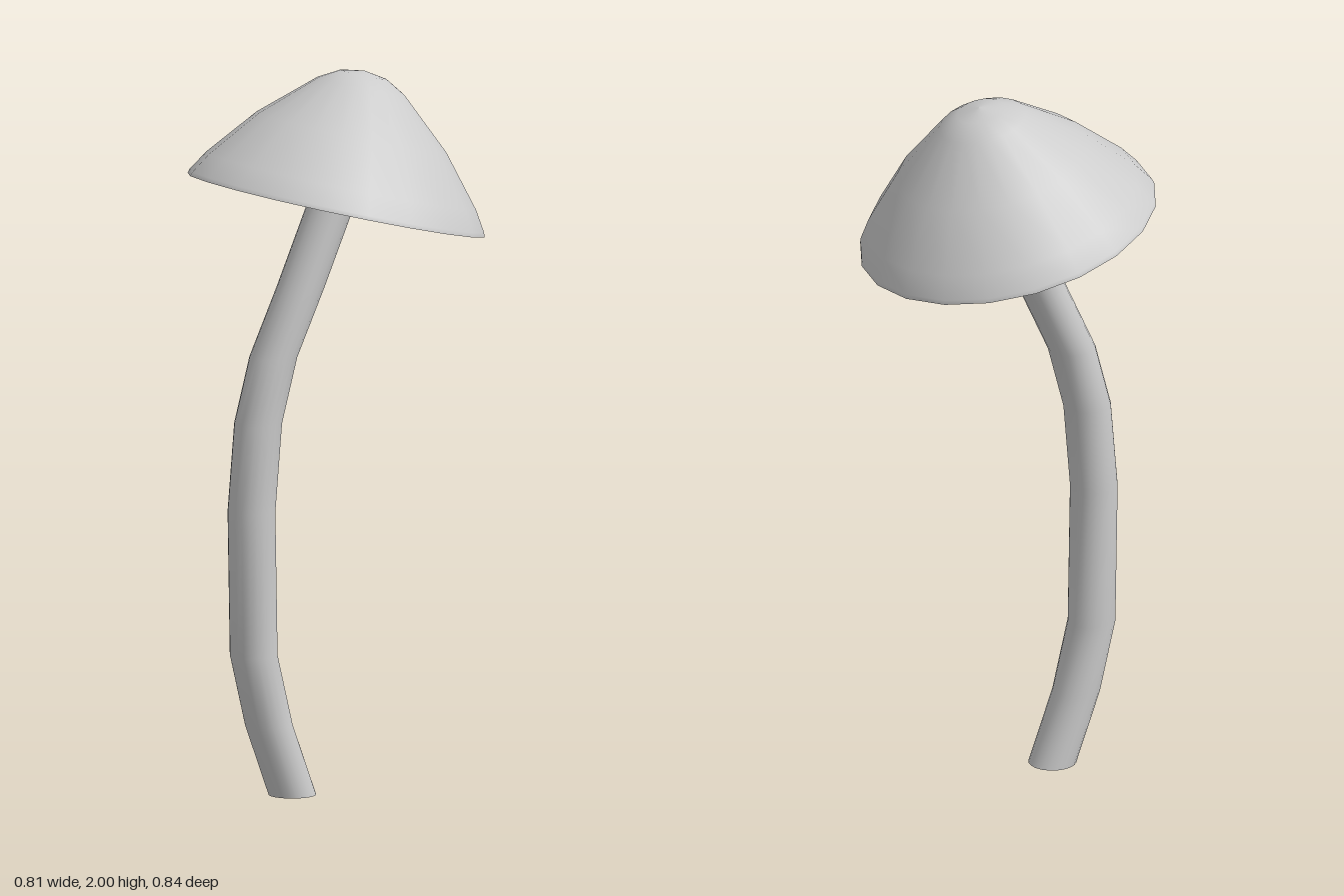
import * as THREE from 'three';
import { toCreasedNormals } from 'three/addons/utils/BufferGeometryUtils.js';

const SIDES = 20;
const points = (list) => list.map(([x, y]) => new THREE.Vector2(x, y));

// Curved stem: each ring of a cylinder stays level and slides to its centre [x, y]
function stemGeometry(radius, centres) {
  const rows = centres.length - 1;
  const geo = new THREE.CylinderGeometry(radius, radius, 1, SIDES, rows);
  const pos = geo.attributes.position;
  for (let i = 0; i < pos.count; i++) {
    const [cx, cy] = centres[Math.round((pos.getY(i) + 0.5) * rows)];
    pos.setX(i, pos.getX(i) + cx);
    pos.setY(i, cy);
  }
  return toCreasedNormals(geo, 0.8);
}

export function createModel() {
  const model = new THREE.Group();
  model.name = 'mushroom';
  const smooth = new THREE.MeshStandardMaterial({ color: 0xcccccc });
  const faceted = new THREE.MeshStandardMaterial({ color: 0xcccccc, flatShading: true });

  const stem = new THREE.Mesh(stemGeometry(0.066, [
    [-0.14, 0], [-0.214, 0.2], [-0.262, 0.4], [-0.269, 0.8],
    [-0.248, 1.045], [-0.2, 1.225], [-0.115, 1.41], [-0.02, 1.63], [0.037, 1.76],
  ]), smooth);
  stem.name = 'stem';

  // Tilted cap, with its rim on the local y = 0 plane
  const cap = new THREE.Group();
  cap.name = 'cap';
  cap.position.set(-0.002, 1.63, 0);
  cap.rotation.z = -0.241;

  const dome = new THREE.Mesh(new THREE.LatheGeometry(points([
    [0.418, 0], [0.415, 0.012], [0.38, 0.069], [0.267, 0.206],
    [0.122, 0.335], [0.065, 0.367], [0, 0.378],
  ]), SIDES), smooth);
  dome.name = 'capDome';

  // Flat rim, sloping inner wall and ceiling of the hollow
  const underside = new THREE.Mesh(new THREE.LatheGeometry(points([
    [0, 0.1], [0.27, 0.1], [0.335, 0], [0.418, 0],
  ]), SIDES), faceted);
  underside.name = 'capUnderside';

  cap.add(dome, underside);
  model.add(stem, cap);
  return model;
}
